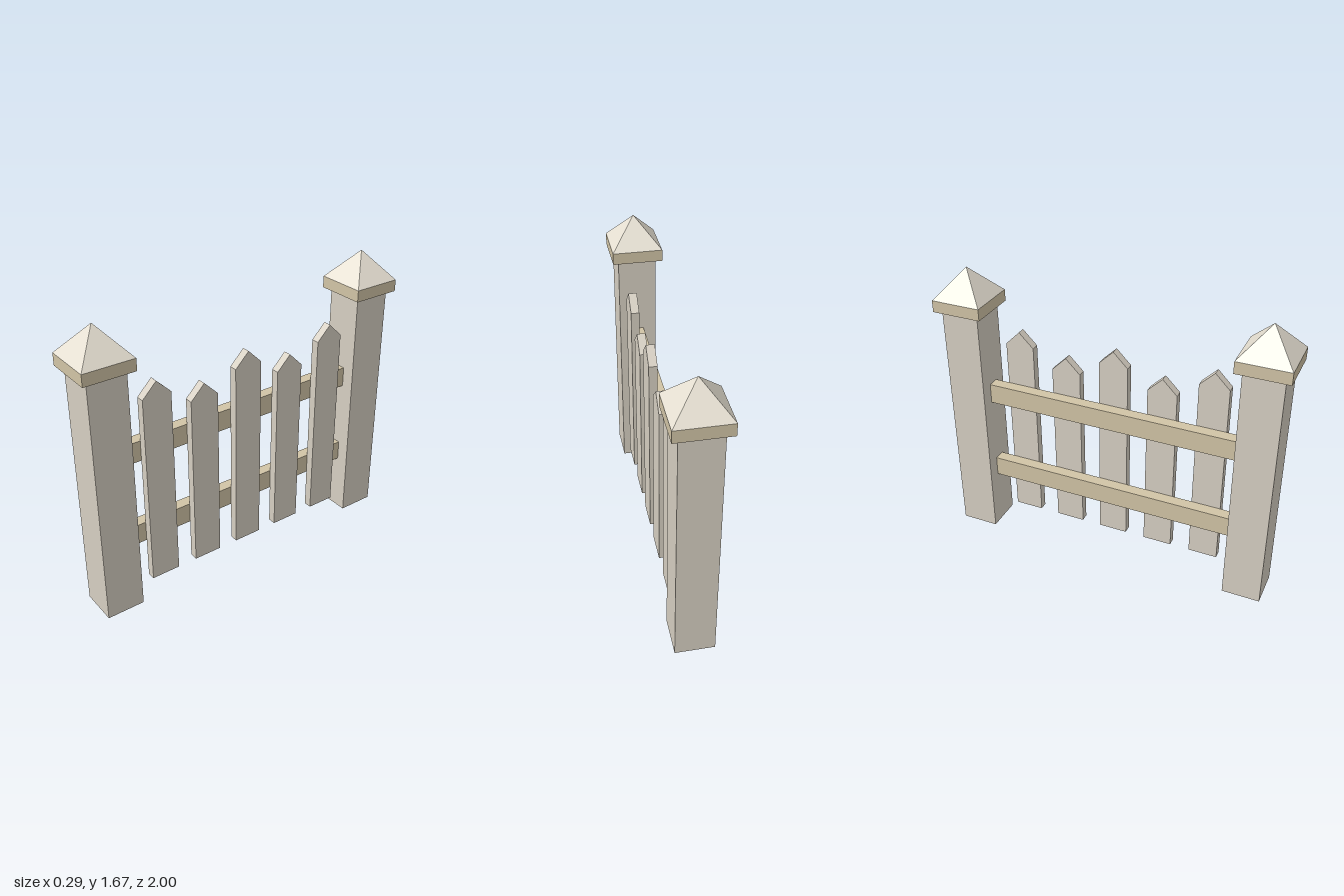
import * as THREE from 'three';

const wood = new THREE.MeshStandardMaterial({ color: 0xd6cfc2, flatShading: true });
const pale = new THREE.MeshStandardMaterial({ color: 0xe6e0d2, flatShading: true });
const tan = new THREE.MeshStandardMaterial({ color: 0xd1c4a6, flatShading: true });

function add(parent, name, geometry, material, x, y, z) {
  const mesh = new THREE.Mesh(geometry, material);
  mesh.name = name;
  mesh.position.set(x, y, z);
  parent.add(mesh);
  return mesh;
}

// Square post with an overhanging collar and a pyramid cap
function createPost(name, z) {
  const post = new THREE.Group();
  post.name = name;
  post.position.z = z;
  add(post, 'postShaft', new THREE.BoxGeometry(0.22, 1.44, 0.22), wood, 0, 0.72, 0);
  add(post, 'postCollar', new THREE.BoxGeometry(0.29, 0.068, 0.29), tan, 0, 1.474, 0);
  const cap = new THREE.ConeGeometry(0.145 * Math.SQRT2, 0.167, 4).rotateY(Math.PI / 4);
  add(post, 'postCap', cap, pale, 0, 1.5915, 0);
  return post;
}

// Pointed board, extruded through its thickness and turned to face +x
function createPicketGeometry(height) {
  const w = 0.085, shoulder = height - 0.085;
  const outline = new THREE.Shape([
    new THREE.Vector2(-w, 0), new THREE.Vector2(w, 0), new THREE.Vector2(w, shoulder),
    new THREE.Vector2(0, height), new THREE.Vector2(-w, shoulder),
  ]);
  return new THREE.ExtrudeGeometry(outline, { depth: 0.048, bevelEnabled: false }).rotateY(Math.PI / 2);
}

export function createModel() {
  const fence = new THREE.Group();
  fence.name = 'picketFence';

  fence.add(createPost('frontPost', 0.855), createPost('backPost', -0.855));

  // Rails between the posts
  add(fence, 'lowerRail', new THREE.BoxGeometry(0.067, 0.119, 1.49), tan, 0, 0.405, 0);
  add(fence, 'upperRail', new THREE.BoxGeometry(0.067, 0.119, 1.49), tan, 0, 0.92, 0);

  // Pickets alternate between tall and short
  for (let i = -2; i <= 2; i++) {
    const height = i % 2 === 0 ? 1.212 : 1.11;
    add(fence, `picket${i + 3}`, createPicketGeometry(height), wood, 0.033, 0.107, i * 0.286);
  }
  return fence;
}
